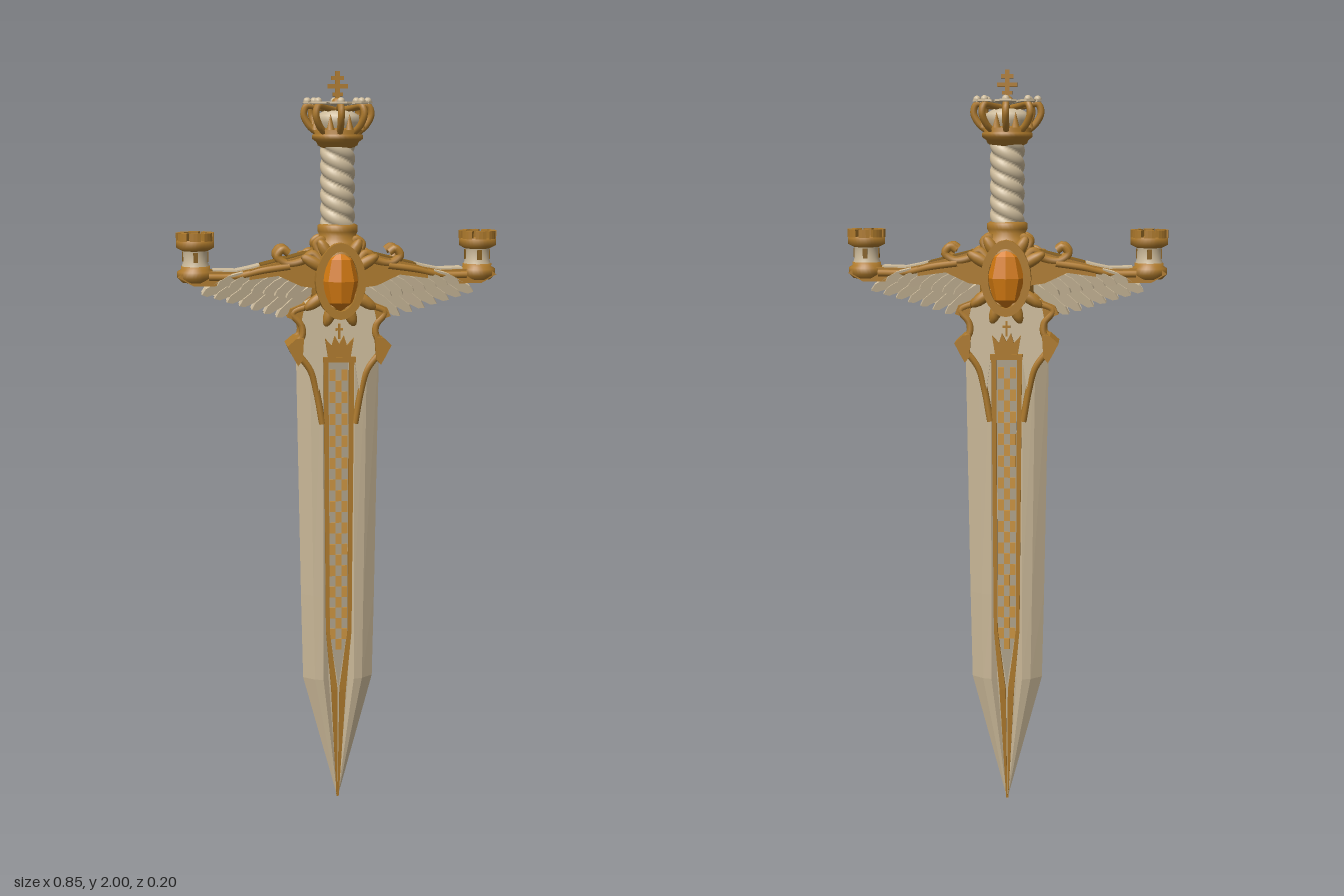
import * as THREE from 'three';
import { mergeGeometries } from 'three/addons/utils/BufferGeometryUtils.js';

const paint = (name, color) => {
  const m = new THREE.MeshStandardMaterial({ color });
  m.name = name;
  return m;
};
const V = (x, y, z = 0) => new THREE.Vector3(x, y, z);

// Plain triangle soup, so any pieces can be merged
function clean(g) {
  const c = g.index ? g.toNonIndexed() : g.clone();
  c.deleteAttribute('uv');
  c.clearGroups();
  return c;
}

// Mirrored copy with the corner order kept facing outward
function flip(g, sx, sz) {
  const c = clean(g).applyMatrix4(new THREE.Matrix4().makeScale(sx, 1, sz));
  if (sx * sz < 0) for (const a of Object.values(c.attributes)) {
    const d = a.array;
    for (let i = 0; i < d.length; i += 9) for (let k = 0; k < 3; k++) {
      const t = d[i + 3 + k];
      d[i + 3 + k] = d[i + 6 + k];
      d[i + 6 + k] = t;
    }
  }
  return c;
}
const sides = g => mergeGeometries([flip(g, 1, 1), flip(g, -1, 1)]);
const faces = g => mergeGeometries([flip(g, 1, 1), flip(g, 1, -1)]);
const quad = g => faces(sides(g));
const merge = list => mergeGeometries(list.map(clean));
const ring = (n, make) => merge(Array.from({ length: n }, (_, i) => make(i).rotateY(i * 2 * Math.PI / n)));

// Outline in x, y pushed from z0 to z1
function plate(pts, z0, z1, holePts) {
  const shape = new THREE.Shape(pts.map(p => new THREE.Vector2(...p)));
  if (holePts) shape.holes.push(new THREE.Path(holePts.map(p => new THREE.Vector2(...p))));
  return new THREE.ExtrudeGeometry(shape, { depth: z1 - z0, bevelEnabled: false }).translate(0, 0, z0);
}
const tube = (pts, r, n = 24) =>
  new THREE.TubeGeometry(new THREE.CatmullRomCurve3(pts.map(p => V(...p))), n, r, 8);
const lathe = (pts, n = 32) => new THREE.LatheGeometry(pts.map(p => new THREE.Vector2(...p)), n);
const box = (w, h, d, x, y, z) => new THREE.BoxGeometry(w, h, d).translate(x, y, z);

// Skin over rings of points, bottom to top, counterclockwise from above
function loft(rings) {
  const out = [];
  for (let i = 0; i + 1 < rings.length; i++) {
    const n = rings[i].length;
    for (let j = 0; j < n; j++) {
      const k = (j + 1) % n;
      const [a, b, c, d] = [rings[i][j], rings[i][k], rings[i + 1][k], rings[i + 1][j]];
      out.push(...a, ...b, ...c, ...a, ...c, ...d);
    }
  }
  const g = new THREE.BufferGeometry();
  g.setAttribute('position', new THREE.Float32BufferAttribute(out, 3));
  g.computeVertexNormals();
  return g;
}

export function createModel() {
  const model = new THREE.Group();
  const ivory = paint('ivory', 0xcfbd9d);
  const steel = paint('pale blade', 0xc9b797);
  const gold = paint('gold', 0xae7a2c);
  const darkGold = paint('dark gold', 0x87601f);
  const amber = paint('amber', 0xd47a10);
  const inlay = paint('inlay grey', 0xaea28a);
  const checkGold = paint('inlay gold', 0xc99240);
  const add = (name, geo, mat) => {
    const m = new THREE.Mesh(geo, mat);
    m.name = name;
    model.add(m);
  };

  // Blade with bevelled edges and a sunken channel on both faces
  const bladeRing = (y, w, s) => {
    const f = [[w * 0.68, 0.024 * s], [0.042 * s, 0.03 * s], [0.027 * s, 0.02 * s]];
    const b = [...f].reverse();
    return [[w, 0], ...f.map(([x, z]) => [x, -z]), ...b.map(([x, z]) => [-x, -z]),
      [-w, 0], ...f.map(([x, z]) => [-x, z]), ...b].map(([x, z]) => [x, y, z]);
  };
  add('blade', loft([bladeRing(0, 0, 0), bladeRing(0.36, 0.096, 1),
    bladeRing(0.6, 0.101, 1), bladeRing(1.3, 0.112, 1)]), steel);

  // Gold rails that meet near the tip
  const rails = [[0.004, 0, 0.003, 0.003], [0.33, 0.003, 0.02, 0.031],
    [0.5, 0.025, 0.035, 0.034], [1.26, 0.028, 0.041, 0.035]];
  add('bladeRails', sides(loft(rails.map(([y, a, b, z]) =>
    [[b, y, z], [b, y, -z], [a, y, -z], [a, y, z]]))), gold);

  // Chequered inlay
  add('inlayPanel', faces(plate([[-0.027, 1.25], [0.027, 1.25], [0.025, 0.5], [0, 0.34], [-0.025, 0.5]],
    0.018, 0.022)), inlay);
  const checks = [];
  for (let r = 0; r < 26; r++) for (let c = -1; c <= 1; c++) {
    const y = 0.46 + r * 0.03;
    if ((r + c) % 2 === 0) checks.push(box(0.016, 0.03, 0.004, c * 0.016, y, 0.0225));
  }
  add('inlayChecks', faces(merge(checks)), checkGold);

  // Shoulder of the blade with gold rim and horns
  const half = [[0.07, 1.41], [0.118, 1.385], [0.122, 1.37], [0.098, 1.345], [0.096, 1.318],
    [0.125, 1.29], [0.105, 1.265], [0.075, 1.225], [0.055, 1.16], [0.042, 1.25]];
  add('shoulder', plate([...half, ...[...half].reverse().map(([x, y]) => [-x, y])], -0.037, 0.037), ivory);
  add('shoulderRim', quad(tube([[0.07, 1.4, 0.036], [0.122, 1.378, 0.034], [0.099, 1.345, 0.036],
    [0.099, 1.315, 0.038], [0.126, 1.288, 0.038], [0.104, 1.264, 0.036], [0.075, 1.224, 0.034],
    [0.059, 1.165, 0.03], [0.044, 1.08, 0.03]], 0.009, 48)), gold);
  add('shoulderHorns', sides(plate([[0.094, 1.315], [0.115, 1.312], [0.138, 1.292], [0.124, 1.265],
    [0.11, 1.24], [0.098, 1.255]], -0.052, 0.052)), gold);
  const flare = [[0.1, 1.355], [0.137, 1.368], [0.128, 1.39], [0.09, 1.405]];
  add('shoulderFlares', sides(plate(flare, -0.04, 0.04)), gold);

  // Small crown emblem above the channel
  add('crownEmblem', faces(merge([
    plate([[-0.03, 1.262], [0.03, 1.262], [0.038, 1.312], [0.02, 1.292], [0.012, 1.318], [0, 1.296],
      [-0.012, 1.318], [-0.02, 1.292], [-0.038, 1.312]], 0.036, 0.048),
    box(0.086, 0.014, 0.016, 0, 1.255, 0.042), box(0.006, 0.04, 0.008, 0, 1.33, 0.041),
    box(0.02, 0.006, 0.008, 0, 1.335, 0.041)])), gold);

  // Centre of the guard
  add('guardHub', lathe([[0.001, 1.345], [0.035, 1.36], [0.06, 1.395], [0.075, 1.43], [0.078, 1.5],
    [0.074, 1.54], [0.058, 1.565], [0.048, 1.58], [0.053, 1.59], [0.053, 1.605], [0.043, 1.61]]), gold);
  const oval = (w, h) => Array.from({ length: 24 }, (_, i) => {
    const a = i * Math.PI / 12;
    return [w * Math.cos(a), 1.465 + h * Math.sin(a) * (0.85 + 0.15 * Math.abs(Math.sin(a)))];
  });
  add('gemFrame', faces(plate(oval(0.066, 0.1), 0.045, 0.084, oval(0.046, 0.078))), gold);
  const gem = clean(new THREE.SphereGeometry(1, 8, 4).scale(0.048, 0.08, 0.032));
  gem.computeVertexNormals();
  add('gem', faces(gem.translate(0, 1.465, 0.066)), amber);

  // Leaves around the gem
  const leaves = [];
  for (const [a, len] of [[-70, 0.075], [-35, 0.08], [30, 0.085], [60, 0.07]]) {
    const t = a * Math.PI / 180;
    leaves.push(new THREE.SphereGeometry(1, 12, 8).scale(len / 2, 0.016, 0.014).rotateZ(t)
      .translate(Math.cos(t) * 0.075, 1.465 + Math.sin(t) * 0.09, 0.058));
  }
  add('gemLeaves', quad(merge(leaves)), gold);

  // Guard arms: broad inside, narrow outside
  add('innerArms', sides(plate([[0.03, 1.44], [0.04, 1.545], [0.09, 1.532], [0.15, 1.515], [0.205, 1.503],
    [0.235, 1.493], [0.235, 1.468], [0.16, 1.478], [0.1, 1.45]], -0.044, 0.044)), gold);
  add('outerArms', sides(plate([[0.22, 1.498], [0.27, 1.488], [0.33, 1.49], [0.4, 1.49], [0.42, 1.475],
    [0.38, 1.452], [0.32, 1.452], [0.22, 1.468]], -0.034, 0.034)), gold);
  add('armChannels', sides(plate([[0.07, 1.538], [0.09, 1.535], [0.205, 1.506], [0.205, 1.502],
    [0.09, 1.531], [0.07, 1.532]], -0.033, 0.033)), darkGold);
  add('armTops', sides(plate([[0.208, 1.506], [0.235, 1.499], [0.27, 1.492], [0.33, 1.494],
    [0.33, 1.489], [0.27, 1.486], [0.208, 1.5]], -0.03, 0.03)), ivory);
  add('armScrolls', quad(merge([
    tube([[0.04, 1.5, 0.055], [0.07, 1.535, 0.045], [0.1, 1.515, 0.04], [0.14, 1.51, 0.037],
      [0.162, 1.528, 0.036], [0.148, 1.546, 0.036], [0.132, 1.536, 0.036]], 0.011, 36),
    tube([[0.05, 1.53, 0.04], [0.062, 1.56, 0.035], [0.045, 1.572, 0.035], [0.036, 1.56, 0.035]], 0.009),
    tube([[0.13, 1.502, 0.043], [0.2, 1.492, 0.042], [0.27, 1.476, 0.034], [0.34, 1.475, 0.034]], 0.009)])), gold);

  // Wings: long feathers and a row of short ones above
  const feather = (x0, y0, x1, y1, w, z) => {
    const len = Math.hypot(x1 - x0, y1 - y0);
    return plate([[0, -w * 0.5], [len * 0.6, -w], [len * 0.9, -w * 0.7], [len, 0],
      [len * 0.85, w * 0.7], [len * 0.5, w], [0, w * 0.6]], -0.007, 0.007)
      .rotateX(0.25).rotateZ(Math.atan2(y1 - y0, x1 - x0)).translate(x0, y0, z);
  };
  const long = [], short = [];
  for (let i = 0; i < 7; i++) {
    const t = i / 6;
    long.push(feather(0.06 + 0.2 * t, 1.45 + 0.025 * t, 0.165 + 0.195 * t, 1.368 + 0.062 * t, 0.015, 0.018 + 0.001 * i));
    short.push(feather(0.07 + 0.18 * t, 1.475 + 0.008 * t, 0.14 + 0.18 * t, 1.42 + 0.035 * t, 0.013, 0.034));
  }
  add('longFeathers', quad(merge(long)), ivory);
  add('shortFeathers', quad(merge(short)), ivory);
  add('wingCore', sides(plate([[0.06, 1.46], [0.32, 1.47], [0.29, 1.43], [0.18, 1.39]], -0.014, 0.014)), ivory);

  // Towers at the ends of the arms
  const at = g => sides(g.translate(0.374, 0, 0));
  add('towerBases', at(lathe([[0.001, 1.456], [0.036, 1.46], [0.048, 1.472], [0.048, 1.488],
    [0.038, 1.494], [0.038, 1.502], [0.03, 1.502]])), gold);
  add('towerBodies', at(lathe([[0.037, 1.498], [0.032, 1.515], [0.032, 1.54], [0.037, 1.55]])), ivory);
  add('towerRims', at(lathe([[0.034, 1.542], [0.049, 1.55], [0.049, 1.57], [0.032, 1.57],
    [0.031, 1.558], [0.001, 1.558]])), gold);
  add('towerBattlements', at(ring(8, () => plate([0.3, 0.1, -0.1, -0.3].map(a => [0.05 * Math.cos(a), 0.05 * Math.sin(a)])
    .concat([[0.031, -0.009], [0.031, 0.009]]), 0, 0.021).rotateX(-Math.PI / 2).translate(0, 1.568, 0))), gold);
  add('towerWindows', at(ring(4, () => box(0.006, 0.026, 0.012, 0.031, 1.526, 0))), darkGold);

  // Twisted grip
  const grip = new THREE.CylinderGeometry(1, 1, 0.22, 60, 60, true);
  const p = grip.attributes.position;
  for (let i = 0; i < p.count; i++) {
    const a = Math.atan2(p.getX(i), p.getZ(i)), y = p.getY(i);
    const r = 0.036 + 0.01 * Math.sqrt(Math.abs(Math.sin(1.5 * a + 85 * y)));
    p.setXYZ(i, r * Math.sin(a), y + 1.71, r * Math.cos(a));
  }
  grip.computeVertexNormals();
  add('grip', grip, ivory);

  // Crown pommel
  add('crownBand', lathe([[0.04, 1.805], [0.052, 1.812], [0.055, 1.82], [0.066, 1.828], [0.066, 1.838],
    [0.06, 1.842], [0.064, 1.85], [0.058, 1.856], [0.04, 1.856]]), gold);
  add('crownCap', lathe([[0.046, 1.85], [0.056, 1.87], [0.056, 1.888], [0.035, 1.9], [0.001, 1.903]]), ivory);
  add('crownArches', ring(8, () => tube([[0.054, 1.845, 0], [0.074, 1.862, 0], [0.088, 1.89, 0],
    [0.08, 1.912, 0], [0.045, 1.908, 0], [0.006, 1.9, 0]], 0.009)), gold);
  add('crownPetals', ring(8, () => plate([[0.008, -0.003], [0.06, -0.024], [0.08, -0.028], [0.09, -0.014], [0.09, 0.014],
    [0.08, 0.028], [0.06, 0.024], [0.008, 0.003]], 0, 0.005).rotateX(-Math.PI / 2).rotateZ(0.12).translate(0, 1.908, 0)), ivory);
  add('crownBeads', ring(8, () => new THREE.SphereGeometry(0.01, 12, 8).translate(0.079, 1.924, 0)), ivory);
  add('crownPoints', ring(8, () => new THREE.ConeGeometry(0.011, 0.04, 8)
    .translate(0.064, 1.872, 0).rotateY(Math.PI / 8)), gold);
  add('crownFinial', new THREE.SphereGeometry(0.016, 16, 10).translate(0, 1.918, 0), gold);
  add('crownCross', merge([box(0.012, 0.08, 0.012, 0, 1.96, 0), box(0.052, 0.011, 0.012, 0, 1.962, 0),
    box(0.032, 0.01, 0.012, 0, 1.983, 0), box(0.026, 0.009, 0.012, 0, 1.941, 0)]), gold);
  return model;
}
